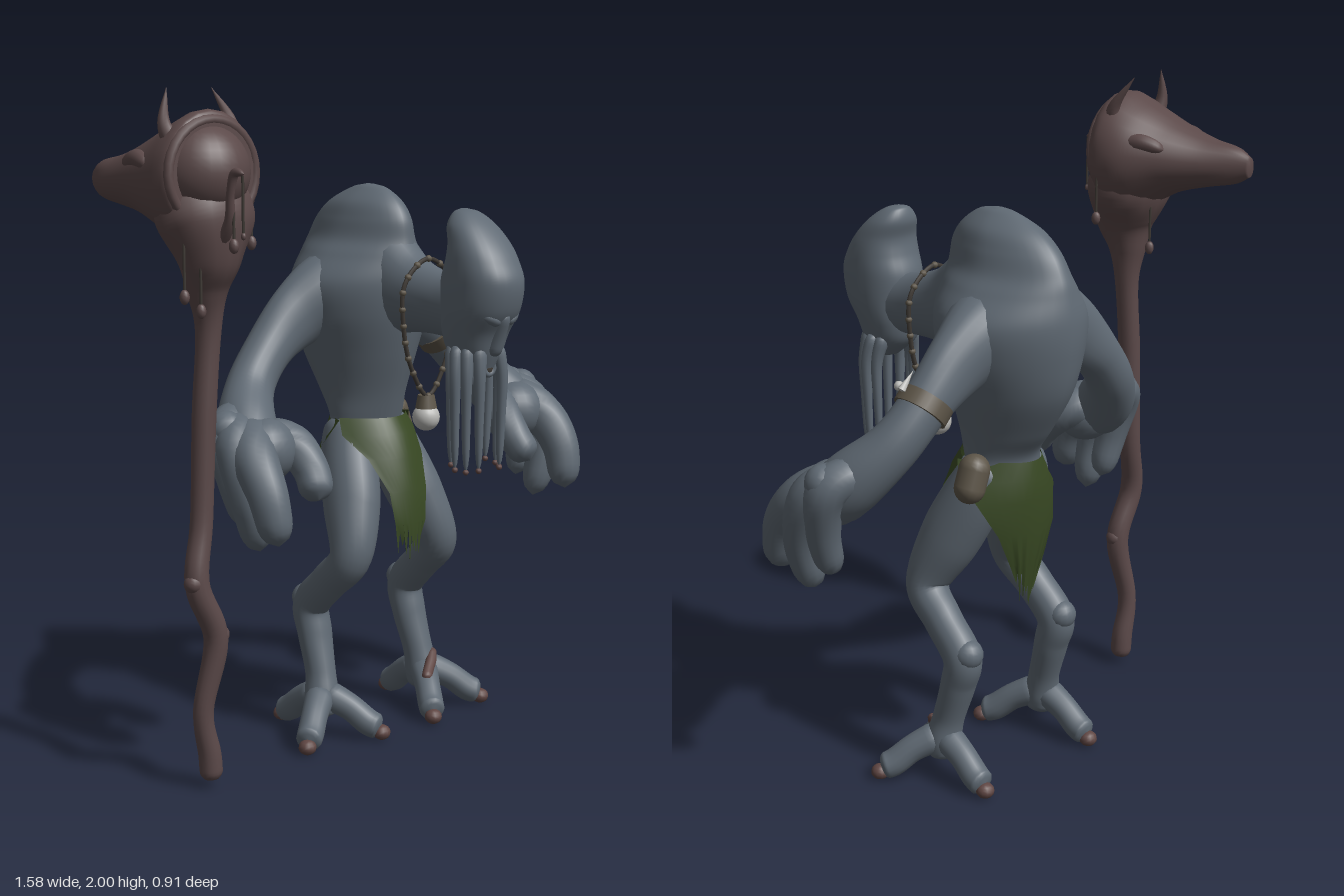
import * as THREE from 'three';

const mat = (name, color, side = THREE.FrontSide) => {
  const m = new THREE.MeshStandardMaterial({ color, side });
  m.name = name;
  return m;
};
const skin = mat('grey blue skin', 0x5f6973);
const wood = mat('dark wood', 0x5b4949);
const cloth = mat('green cloth', 0x384823, THREE.DoubleSide);
const leather = mat('leather', 0x5d5548);
const bone = mat('bone', 0xb9b9b6);
const claw = mat('red brown claw', 0x5f4643);
const cord = mat('dark cord', 0x3f3a35);

const mesh = (name, geo, material, x = 0, y = 0, z = 0) => {
  const m = new THREE.Mesh(geo, material);
  m.name = name;
  m.position.set(x, y, z);
  return m;
};

// Smooth skin over sections [x, y, z, a, b]. With `axis` the rings stay square
// to it; otherwise they follow the path and get rounded ends. A `power` above 1
// turns the ellipses towards diamonds.
function loft(name, material, secs, { axis = null, ref = [1, 0, 0], sides = 22, sub = 8, power = 1 } = {}) {
  const spline = pts => new THREE.CatmullRomCurve3(pts, false, 'catmullrom', 0.5);
  const path = spline(secs.map(s => new THREE.Vector3(s[0], s[1], s[2])));
  const size = spline(secs.map(s => new THREE.Vector3(s[3], s[4] ?? s[3], 0)));
  const steps = (secs.length - 1) * sub, R = new THREE.Vector3(...ref);
  const bend = v => Math.sign(v) * Math.abs(v) ** power;
  const pos = [], idx = [], w = 0.45 / (secs.length - 1);
  for (let i = 0; i <= steps; i++) {
    const t = i / steps, p = path.getPoint(t), r = size.getPoint(t);
    const T = axis ? new THREE.Vector3(...axis) : path.getTangent(t);
    const U = R.clone().cross(T).normalize(), V = T.clone().cross(U);
    const k = axis ? 0 : Math.max(0, 1 - t / w, 1 - (1 - t) / w);
    const round = Math.sqrt(Math.max(0, 1 - k * k));
    for (let j = 0; j < sides; j++) {
      const q = j / sides * Math.PI * 2;
      const v = p.clone().addScaledVector(U, bend(Math.cos(q)) * Math.max(0.001, r.y * round))
        .addScaledVector(V, bend(Math.sin(q)) * Math.max(0.001, r.x * round));
      pos.push(v.x, v.y, v.z);
      if (i < steps) {
        const a = i * sides + j, b = i * sides + (j + 1) % sides;
        idx.push(a, b, b + sides, a, b + sides, a + sides);
      }
    }
  }
  const last = steps * sides, c = pos.length / 3;
  pos.push(...path.getPoint(0).toArray(), ...path.getPoint(1).toArray());
  for (let j = 0; j < sides; j++) {
    const n = (j + 1) % sides;
    idx.push(c, n, j, c + 1, last + j, last + n);
  }
  return mesh(name, surface(pos, idx), material);
}

function surface(pos, idx) {
  const g = new THREE.BufferGeometry();
  g.setAttribute('position', new THREE.Float32BufferAttribute(pos, 3));
  g.setIndex(idx);
  g.computeVertexNormals();
  return g;
}

// Curved cloth panel from rows [y, halfWidth, z, wrap], ending in ragged strips
function panel(name, rows, dir) {
  const n = 14, pos = [], idx = [];
  rows.forEach(([y, w, z, wrap], i) => {
    for (let j = 0; j <= n; j++) {
      const u = j / n * 2 - 1;
      const rag = i === rows.length - 1 ? (j % 2) * 0.07 + (j % 3) * 0.02 + u * u * 0.04 : 0;
      pos.push(u * w, y + rag, z - dir * wrap * u * u);
      if (i && j) {
        const a = (i - 1) * (n + 1) + j - 1, b = a + n + 1;
        idx.push(a, b, b + 1, a, b + 1, a + 1);
      }
    }
  });
  return mesh(name, surface(pos, idx), cloth);
}

// Hanging cord with a bead at its end
function dangle(x, y, z, length, bead = 0.014) {
  const g = new THREE.Group();
  g.name = 'hangingCharm';
  const drop = mesh('charmBead', new THREE.SphereGeometry(bead, 10, 8), wood, x, y - length, z);
  drop.scale.y = 1.5;
  g.add(mesh('charmCord', new THREE.CylinderGeometry(0.004, 0.004, length, 6), cord, x, y - length / 2, z), drop);
  return g;
}

function makeArm() {
  const arm = new THREE.Group(), ref = [0, 0, 1];
  arm.name = 'arm';
  arm.add(loft('upperArmAndForearm', skin, [[-0.02, 1.43, -0.21, 0.15, 0.11], [0.12, 1.38, -0.225, 0.115, 0.125],
    [0.24, 1.315, -0.235, 0.075, 0.103], [0.35, 1.225, -0.23, 0.068, 0.076], [0.445, 1.12, -0.2, 0.072, 0.076],
    [0.52, 1.02, -0.12, 0.09], [0.55, 0.94, -0.04, 0.085]], { ref }));
  // Broad palm and heavy fingers
  const palm = mesh('palm', new THREE.SphereGeometry(0.095, 20, 14), skin, 0.52, 0.965, -0.04);
  palm.scale.set(1.05, 1, 1);
  arm.add(palm);
  const fingers = [
    ['thumb', [[0.5, 1.0, -0.08, 0.06], [0.435, 0.975, -0.02, 0.062], [0.42, 0.91, 0.05, 0.054], [0.44, 0.83, 0.11, 0.05]]],
    ['frontFinger', [[0.52, 1.02, -0.1, 0.07], [0.59, 0.96, 0.0, 0.07], [0.605, 0.86, 0.085, 0.06], [0.595, 0.72, 0.12, 0.048]]],
    ['middleFinger', [[0.54, 1.04, -0.13, 0.06], [0.61, 0.98, -0.05, 0.064], [0.61, 0.84, 0.0, 0.055], [0.57, 0.68, 0.0, 0.043]]],
    ['backFinger', [[0.51, 1.06, -0.16, 0.055], [0.605, 1.01, -0.11, 0.062], [0.6, 0.88, -0.08, 0.05], [0.56, 0.74, -0.07, 0.04]]],
  ];
  fingers.forEach(([name, s]) => arm.add(loft(name, skin, s, { ref, sides: 14 })));
  arm.add(mesh('knuckle', new THREE.SphereGeometry(0.055, 14, 10), skin, 0.61, 1.03, -0.1));
  return arm;
}

function makeLeg() {
  const leg = new THREE.Group();
  leg.name = 'leg';
  leg.add(loft('thighAndShin', skin, [[0.06, 1.0, -0.19, 0.07], [0.09, 0.89, -0.165, 0.082, 0.092],
    [0.132, 0.74, -0.1, 0.085, 0.095], [0.18, 0.59, -0.05, 0.066], [0.195, 0.5, -0.13, 0.056, 0.06],
    [0.2, 0.41, -0.215, 0.056, 0.06], [0.2, 0.32, -0.2, 0.056, 0.052], [0.207, 0.2, -0.165, 0.048],
    [0.215, 0.12, -0.15, 0.055], [0.215, 0.06, -0.15, 0.045]]));
  leg.add(mesh('hockSpur', new THREE.SphereGeometry(0.046, 16, 12), skin, 0.2, 0.425, -0.24));
  for (const [x, z] of [[0.12, 0.0], [0.355, -0.045], [0.225, -0.32]]) {
    const dx = x - 0.215, dz = z + 0.15;
    leg.add(loft('toe', skin, [[0.215, 0.14, -0.15, 0.05], [0.215 + dx * 0.5, 0.1, -0.15 + dz * 0.5, 0.042],
      [0.215 + dx * 0.85, 0.055, -0.15 + dz * 0.85, 0.042], [x + dx * 0.09, 0.04, z + dz * 0.09, 0.039]],
    { ref: [0, 1, 0], sides: 14 }));
    const tip = mesh('toeClaw', new THREE.SphereGeometry(0.028, 12, 8), claw, x + dx * 0.1, 0.026, z + dz * 0.1);
    tip.scale.y = 0.85;
    leg.add(tip);
  }
  return leg;
}

function makeHead() {
  const head = new THREE.Group();
  head.name = 'head';
  // Skull rings given as [y, back z, front z, half width]
  const rings = [[1.19, 0.28, 0.36, 0.04], [1.24, 0.22, 0.38, 0.072], [1.3, 0.2, 0.4, 0.09], [1.37, 0.2, 0.44, 0.104],
    [1.45, 0.2, 0.455, 0.106], [1.51, 0.22, 0.43, 0.102], [1.56, 0.228, 0.395, 0.092], [1.61, 0.217, 0.345, 0.074],
    [1.645, 0.225, 0.295, 0.042], [1.656, 0.24, 0.26, 0.008]];
  head.add(loft('skull', skin, rings.map(([y, b, f, a]) => [0, y, (b + f) / 2, a, (f - b) / 2]),
    { axis: [0, 1, 0], power: 0.9, sides: 28 }));
  head.add(loft('neck', skin, [[0, 1.45, -0.2, 0.12, 0.2], [0, 1.43, -0.06, 0.105, 0.17], [0, 1.39, 0.06, 0.083, 0.115],
    [0, 1.37, 0.17, 0.075, 0.095], [0, 1.36, 0.28, 0.08, 0.1]], { axis: [0, 0, 1] }));
  for (const s of [-1, 1]) {
    head.add(loft('brow', skin, [[s * 0.012, 1.335, 0.412, 0.016], [s * 0.05, 1.355, 0.402, 0.018],
      [s * 0.09, 1.385, 0.365, 0.012]], { ref: [0, 1, 0], sides: 10 }));
    head.add(mesh('eye', new THREE.SphereGeometry(0.01, 10, 8), cord, s * 0.058, 1.33, 0.376));
    // Face tentacles
    [[0.045, 0.362, 0.9], [0.072, 0.335, 0.895], [0.088, 0.305, 0.9], [0.075, 0.275, 0.91]].forEach(([x, z, end]) => {
      head.add(loft('faceTentacle', skin, [[s * x * 0.75, 1.27, z - 0.01, 0.025], [s * x, 1.18, z + 0.004, 0.018],
        [s * x, 1.06, z + 0.003, 0.014], [s * x * 0.95, end, z, 0.01]], { sides: 10 }));
      head.add(mesh('tentacleTip', new THREE.SphereGeometry(0.009, 8, 6), claw, s * x * 0.95, end, z));
    });
  }
  head.add(loft('noseRidge', skin, [[0, 1.37, 0.425, 0.02], [0, 1.3, 0.395, 0.022], [0, 1.235, 0.37, 0.026]], { sides: 12 }));
  const mouth = mesh('mouth', new THREE.SphereGeometry(0.016, 12, 8), cord, 0, 1.198, 0.358);
  mouth.scale.z = 0.4;
  head.add(mesh('lips', new THREE.TorusGeometry(0.02, 0.01, 8, 18), skin, 0, 1.2, 0.355), mouth);
  return head;
}

function makeStaff() {
  const staff = new THREE.Group();
  staff.name = 'staff';
  staff.add(loft('staffShaft', wood, [[-0.63, 0.02, -0.02, 0.034], [-0.635, 0.1, -0.02, 0.034], [-0.655, 0.24, -0.02, 0.03],
    [-0.62, 0.45, -0.002, 0.036], [-0.68, 0.62, -0.005, 0.036], [-0.65, 0.8, -0.02, 0.033], [-0.635, 1.1, -0.02, 0.035],
    [-0.62, 1.33, -0.015, 0.037], [-0.625, 1.45, -0.01, 0.06], [-0.625, 1.54, 0, 0.095], [-0.622, 1.64, -0.015, 0.148, 0.12],
    [-0.62, 1.74, -0.04, 0.13, 0.11]], { sides: 16 }));
  for (const [x, y] of [[-0.695, 0.625], [-0.608, 0.46]])
    staff.add(mesh('staffKnot', new THREE.SphereGeometry(0.029, 12, 10), wood, x, y, 0));
  // Hood sweeping back to a blunt point
  staff.add(loft('staffHood', wood, [[-0.715, 1.745, -0.41, 0.015, 0.03], [-0.71, 1.745, -0.36, 0.045, 0.056],
    [-0.69, 1.745, -0.27, 0.09, 0.075], [-0.66, 1.75, -0.18, 0.13, 0.105], [-0.628, 1.75, -0.09, 0.165, 0.155],
    [-0.62, 1.755, -0.02, 0.174, 0.185], [-0.625, 1.765, 0.02, 0.16, 0.175], [-0.628, 1.775, 0.035, 0.135, 0.14]],
  { axis: [0, 0, 1] }));
  staff.add(mesh('staffOrb', new THREE.SphereGeometry(0.132, 28, 20), wood, -0.63, 1.775, -0.015));
  staff.add(mesh('orbRim', new THREE.TorusGeometry(0.146, 0.015, 10, 32), wood, -0.626, 1.77, 0.024));
  for (const s of [-1, 1]) {
    staff.add(loft('staffHorn', wood, [[-0.63 + s * 0.095, 1.85, -0.02, 0.03], [-0.63 + s * 0.112, 1.91, -0.035, 0.018],
      [-0.63 + s * 0.098, 2.0, -0.07 - s * 0.03, 0.002]], { sides: 10 }));
    staff.add(loft('hoodBrow', wood, [[-0.64 + s * 0.132, 1.79, -0.06, 0.02], [-0.645 + s * 0.12, 1.81, -0.13, 0.026],
      [-0.66 + s * 0.1, 1.79, -0.2, 0.018]], { ref: [0, 1, 0], sides: 12 }));
  }
  staff.add(loft('staffHook', wood, [[-0.64, 1.57, 0.06, 0.022], [-0.64, 1.64, 0.115, 0.016], [-0.65, 1.72, 0.135, 0.012],
    [-0.65, 1.775, 0.155, 0.013], [-0.65, 1.775, 0.195, 0.007]], { sides: 10 }));
  staff.add(dangle(-0.65, 1.77, 0.19, 0.16, 0.007), dangle(-0.64, 1.67, 0.135, 0.09), dangle(-0.73, 1.62, 0.03, 0.18),
    dangle(-0.69, 1.56, 0.05, 0.16), dangle(-0.46, 1.7, -0.02, 0.13), dangle(-0.6, 1.6, -0.12, 0.13));
  return staff;
}

export function createModel() {
  const root = new THREE.Group(), body = new THREE.Group();
  root.name = 'staffBearer';
  body.name = 'creature';
  body.position.x = 0.112;

  // Hunched torso rings given as [y, back z, front z, half width]
  const rings = [[0.86, -0.24, -0.13, 0.05], [0.92, -0.28, -0.1, 0.12], [1.0, -0.29, -0.075, 0.128], [1.08, -0.345, -0.05, 0.142],
    [1.2, -0.415, -0.01, 0.178], [1.32, -0.445, 0.02, 0.215], [1.42, -0.452, 0.03, 0.22], [1.5, -0.44, 0.025, 0.165],
    [1.55, -0.425, 0.015, 0.125], [1.61, -0.39, 0.005, 0.103], [1.66, -0.33, -0.03, 0.08], [1.7, -0.24, -0.09, 0.036],
    [1.712, -0.18, -0.15, 0.01]];
  body.add(loft('torso', skin, rings.map(([y, b, f, a]) => [0, y, (b + f) / 2, a, (f - b) / 2]),
    { axis: [0, 1, 0], sides: 36, power: 1.15 }));
  body.add(makeHead());
  for (const s of [-1, 1]) {
    const arm = makeArm(), leg = makeLeg();
    arm.scale.x = leg.scale.x = s;
    body.add(arm, leg);
  }

  // Loincloth, front and back
  body.add(panel('frontLoincloth', [[1.0, 0.135, -0.055, 0.1], [0.95, 0.148, -0.025, 0.1], [0.88, 0.11, 0.0, 0.045],
    [0.78, 0.076, 0.025, 0.012], [0.68, 0.062, 0.035, 0.01], [0.55, 0.047, 0.03, 0.01]], 1));
  body.add(panel('backLoincloth', [[0.995, 0.145, -0.312, 0.17], [0.94, 0.168, -0.322, 0.15], [0.88, 0.16, -0.325, 0.09],
    [0.78, 0.115, -0.32, 0.04], [0.68, 0.072, -0.305, 0.02], [0.53, 0.035, -0.285, 0.01]], -1));
  const pouch = mesh('beltPouch', new THREE.CapsuleGeometry(0.046, 0.055, 6, 14), leather, 0.167, 0.96, -0.225);
  pouch.rotation.z = 0.35;
  body.add(pouch);

  // Beaded necklace with a bone pendant
  const strand = new THREE.CatmullRomCurve3([[0, 1.085], [0.07, 1.18], [0.1, 1.3], [0.095, 1.43], [0, 1.5],
    [-0.095, 1.43], [-0.1, 1.3], [-0.07, 1.18]].map(([x, y]) => new THREE.Vector3(x, y, 0.1)), true);
  body.add(mesh('necklaceCord', new THREE.TubeGeometry(strand, 64, 0.007, 6, true), cord));
  strand.getSpacedPoints(20).slice(1).forEach(p =>
    body.add(mesh('necklaceBead', new THREE.SphereGeometry(0.0105, 8, 6), leather, p.x, p.y, p.z)));
  body.add(mesh('pendant', new THREE.SphereGeometry(0.042, 18, 14), bone, 0, 1.02, 0.092),
    mesh('pendantCap', new THREE.CylinderGeometry(0.026, 0.034, 0.04, 12), leather, 0, 1.068, 0.092));

  // Armlet with a tooth and a bone bead on the left arm
  const armlet = new THREE.Group();
  armlet.name = 'armlet';
  armlet.position.set(0.355, 1.222, -0.228);
  armlet.rotation.z = 0.75;
  armlet.add(mesh('armletBand', new THREE.CylinderGeometry(0.08, 0.08, 0.046, 28), leather),
    mesh('armletTooth', new THREE.ConeGeometry(0.013, 0.065, 8), bone, 0.082, 0.03, 0.02),
    mesh('armletBead', new THREE.SphereGeometry(0.014, 10, 8), bone, 0.06, 0.015, 0.062));
  body.add(armlet);

  // Painted streak above the left foot
  body.add(loft('footPaint', claw, [[0.145, 0.122, -0.055, 0.018], [0.175, 0.142, -0.078, 0.018], [0.21, 0.165, -0.102, 0.018],
    [0.24, 0.195, -0.125, 0.013]], { ref: [0, 0, 1], sides: 10 }));

  root.add(body, makeStaff());
  return root;
}
